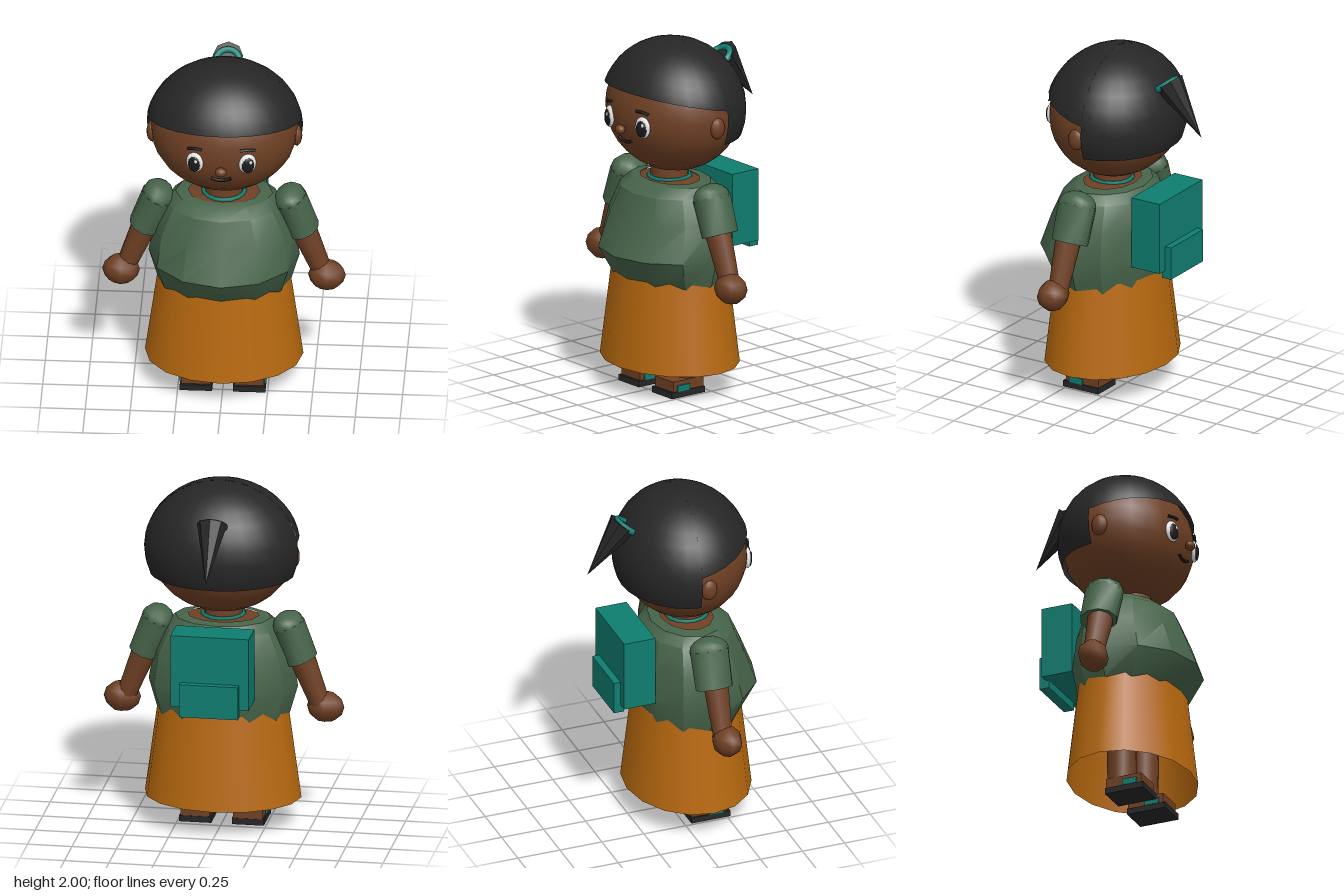
import * as THREE from 'three';
import { toCreasedNormals } from 'three/addons/utils/BufferGeometryUtils.js';

const paint = (name, color, side = THREE.FrontSide) => {
  const m = new THREE.MeshStandardMaterial({ color, side });
  m.name = name;
  return m;
};

// Head and hair share this centre
const HEAD = { y: 1.61, z: 0.07, rx: 0.41, ry: 0.36, rz: 0.36 };
const faceZ = (x, y) =>
  HEAD.z + HEAD.rz * Math.sqrt(1 - (x / HEAD.rx) ** 2 - ((y - HEAD.y) / HEAD.ry) ** 2);

function gridGeometry(positions, rows, cols, flip) {
  const index = [];
  for (let r = 0; r < rows; r++) for (let c = 0; c < cols; c++) {
    const a = r * (cols + 1) + c, b = a + 1, d = a + cols + 1, e = d + 1;
    if (flip) index.push(a, d, e, a, e, b);
    else index.push(a, b, e, a, e, d);
  }
  const g = new THREE.BufferGeometry();
  g.setAttribute('position', new THREE.Float32BufferAttribute(positions, 3));
  g.setIndex(index);
  return g;
}

// Stacked rings [y, half width, depth to the front, depth to the back], bottom up
function loft(rings, sides, z0) {
  const p = [];
  for (const [y, rx, front, back] of rings) for (let i = 0; i <= sides; i++) {
    const a = (i / sides) * Math.PI * 2, c = Math.cos(a);
    p.push(rx * Math.sin(a), y, z0 + c * (c > 0 ? front : back));
  }
  const g = gridGeometry(p, rings.length - 1, sides, false);
  g.computeVertexNormals();
  return toCreasedNormals(g, 0.5);
}

// Part of an ellipsoid from the crown down to a hemline given as a height per z
function hairCap(phi0, phi1, hem, cols) {
  const rx = 0.437, ry = 0.39, rz = 0.383, rows = 10, p = [], n = [];
  for (let r = 0; r <= rows; r++) for (let c = 0; c <= cols; c++) {
    const phi = phi0 + (phi1 - phi0) * c / cols;
    let end = 1.4;
    for (let k = 0; k < 15; k++)
      end = Math.acos((hem(HEAD.z + rz * Math.sin(end) * Math.cos(phi)) - HEAD.y) / ry);
    const t = end * r / rows;
    const v = [Math.sin(t) * Math.sin(phi), Math.cos(t), Math.sin(t) * Math.cos(phi)];
    p.push(v[0] * rx, HEAD.y + v[1] * ry, HEAD.z + v[2] * rz);
    n.push(...new THREE.Vector3(v[0] / rx, v[1] / ry, v[2] / rz).normalize().toArray());
  }
  const g = gridGeometry(p, rows, cols, true);
  g.setAttribute('normal', new THREE.Float32BufferAttribute(n, 3));
  return g;
}

export function createModel() {
  const root = new THREE.Group();
  root.name = 'schoolchild';
  const skin = paint('brown skin', 0x6f4024);
  const shirt = paint('green cloth', 0x47644a);
  const skirtCloth = paint('orange cloth', 0xb8690f, THREE.DoubleSide);
  const black = paint('black hair', 0x262626, THREE.DoubleSide);
  const ink = paint('eye black', 0x1a1a1c);
  const teal = paint('teal', 0x0f7d70);
  const white = paint('eye white', 0xeeeeee);

  const add = (name, geo, mat, pos = [0, 0, 0], parent = root) => {
    const m = new THREE.Mesh(geo, mat);
    m.name = name;
    m.position.set(...pos);
    parent.add(m);
    return m;
  };
  const ball = (name, mat, pos, scale, parent, w = 16, h = 12) => {
    const m = add(name, new THREE.SphereGeometry(1, w, h), mat, pos, parent);
    m.scale.set(...scale);
    return m;
  };
  const box = (name, mat, size, pos) => add(name, new THREE.BoxGeometry(...size), mat, pos);
  const tube = (name, mat, pts, r) => add(name, new THREE.TubeGeometry(
    new THREE.CatmullRomCurve3(pts.map(q => new THREE.Vector3(...q))), 10, r, 6), mat);

  // Head, nose and mouth
  ball('head', skin, [0, HEAD.y, HEAD.z], [HEAD.rx, HEAD.ry, HEAD.rz], root, 24, 16);
  ball('nose', skin, [0, 1.54, 0.45], [0.033, 0.027, 0.027]);
  tube('mouth', ink, [[-0.057, 1.477], [-0.03, 1.466], [0, 1.461], [0.03, 1.466], [0.057, 1.477]]
    .map(([x, y]) => [x, y, faceZ(x, y) + 0.008]), 0.009);

  // Hair: short fringe in front, longer behind the ears
  const seam = 1.68;
  add('fringe', hairCap(-seam, seam, z => 1.666 + 0.222 * (z - 0.027), 16), black);
  add('backHair', hairCap(seam, Math.PI * 2 - seam, () => 1.465, 14), black);

  // Ponytail with its tie
  const base = new THREE.Vector3(0, 1.853, -0.275), tip = new THREE.Vector3(0, 1.57, -0.49);
  const axis = tip.clone().sub(base);
  const tail = add('ponytail', toCreasedNormals(new THREE.ConeGeometry(0.085, axis.length(), 8), 0.5),
    black, base.clone().add(tip).multiplyScalar(0.5).toArray());
  axis.normalize();
  tail.quaternion.setFromUnitVectors(new THREE.Vector3(0, 1, 0), axis);
  const tie = add('hairTie', new THREE.TorusGeometry(0.066, 0.019, 8, 16), teal, [0, 1.835, -0.255]);
  tie.quaternion.setFromUnitVectors(new THREE.Vector3(0, 0, 1), axis);

  // Neck, bare shoulders and necklace
  add('neck', new THREE.CylinderGeometry(0.105, 0.11, 0.14, 12), skin, [0, 1.24, 0.1]);
  add('collar', loft([[1.2, 0.21, 0.15, 0.16], [1.218, 0.1, 0.09, 0.09]], 12, 0.1), skin);
  const necklace = add('necklace', new THREE.TorusGeometry(0.115, 0.012, 6, 16), teal, [0, 1.214, 0.1]);
  necklace.rotation.x = Math.PI / 2;

  // Shirt, fuller in front, and the open skirt
  add('shirt', loft([
    [0.58, 0.30, 0.22, 0.22], [0.65, 0.374, 0.285, 0.29], [0.81, 0.42, 0.39, 0.315],
    [1.0, 0.39, 0.315, 0.295], [1.15, 0.32, 0.25, 0.26], [1.2, 0.27, 0.18, 0.21],
    [1.208, 0.2, 0.14, 0.15],
  ], 12, 0.1), shirt);
  const skirt = add('skirt', new THREE.CylinderGeometry(0.366, 0.44, 0.54, 16, 1, true),
    skirtCloth, [0, 0.43, 0.097]);
  skirt.scale.z = 0.8;

  // Backpack
  box('backpack', teal, [0.44, 0.415, 0.185], [0, 1.008, -0.263]);
  box('backpackPocket', teal, [0.33, 0.19, 0.06], [0, 0.85, -0.365]);

  for (const s of [1, -1]) {
    const side = s > 0 ? 'left' : 'right';

    // Ear, eyebrow and eye
    ball(side + 'Ear', skin, [s * 0.403, 1.57, 0.08], [0.03, 0.062, 0.047], root, 12, 8);
    tube(side + 'Eyebrow', ink, [[0.105, 1.664], [0.147, 1.664], [0.187, 1.655]]
      .map(([x, y]) => [s * x, y, faceZ(x, y) + 0.006]), 0.009);
    const eye = new THREE.Group();
    eye.name = side + 'Eye';
    eye.position.set(s * 0.147, 1.575, faceZ(0.147, 1.575) + 0.002);
    eye.rotation.y = s * 0.28;
    root.add(eye);
    ball('eyeWhite', white, [0, 0, 0], [0.05, 0.062, 0.02], eye);
    ball('pupil', ink, [0, -0.005, 0.012], [0.036, 0.048, 0.014], eye);
    ball('glint', white, [0.013, 0.018, 0.022], [0.01, 0.012, 0.005], eye, 8, 6);

    // Arm hanging outward from the shoulder
    const arm = new THREE.Group();
    arm.name = side + 'Arm';
    arm.position.set(s * 0.37, 1.16, 0.093);
    arm.rotation.z = s * 0.37;
    root.add(arm);
    const sleeve = add('sleeve', toCreasedNormals(
      new THREE.CylinderGeometry(0.092, 0.088, 0.215, 10), 0.8), shirt, [0, -0.1, 0], arm);
    sleeve.scale.z = 1.24;
    ball('shoulder', shirt, [0, 0.005, 0], [0.092, 0.08, 0.114], arm, 10, 8);
    add('forearm', new THREE.CylinderGeometry(0.075, 0.055, 0.34, 10), skin, [0, -0.33, 0.012], arm);
    ball(side + 'Hand', skin, [s * 0.572, 0.69, 0.12], [0.105, 0.088, 0.085], root, 8, 6);

    // Leg and sandal
    add(side + 'Leg', new THREE.CylinderGeometry(0.09, 0.08, 0.55, 12), skin, [s * 0.148, 0.37, 0.1]);
    box(side + 'Foot', skin, [0.165, 0.06, 0.215], [s * 0.148, 0.064, 0.148]);
    box(side + 'Sole', black, [0.18, 0.035, 0.232], [s * 0.148, 0.0175, 0.154]);
    box(side + 'SandalStrap', teal, [0.186, 0.035, 0.085], [s * 0.148, 0.052, 0.187]);
  }
  return root;
}
